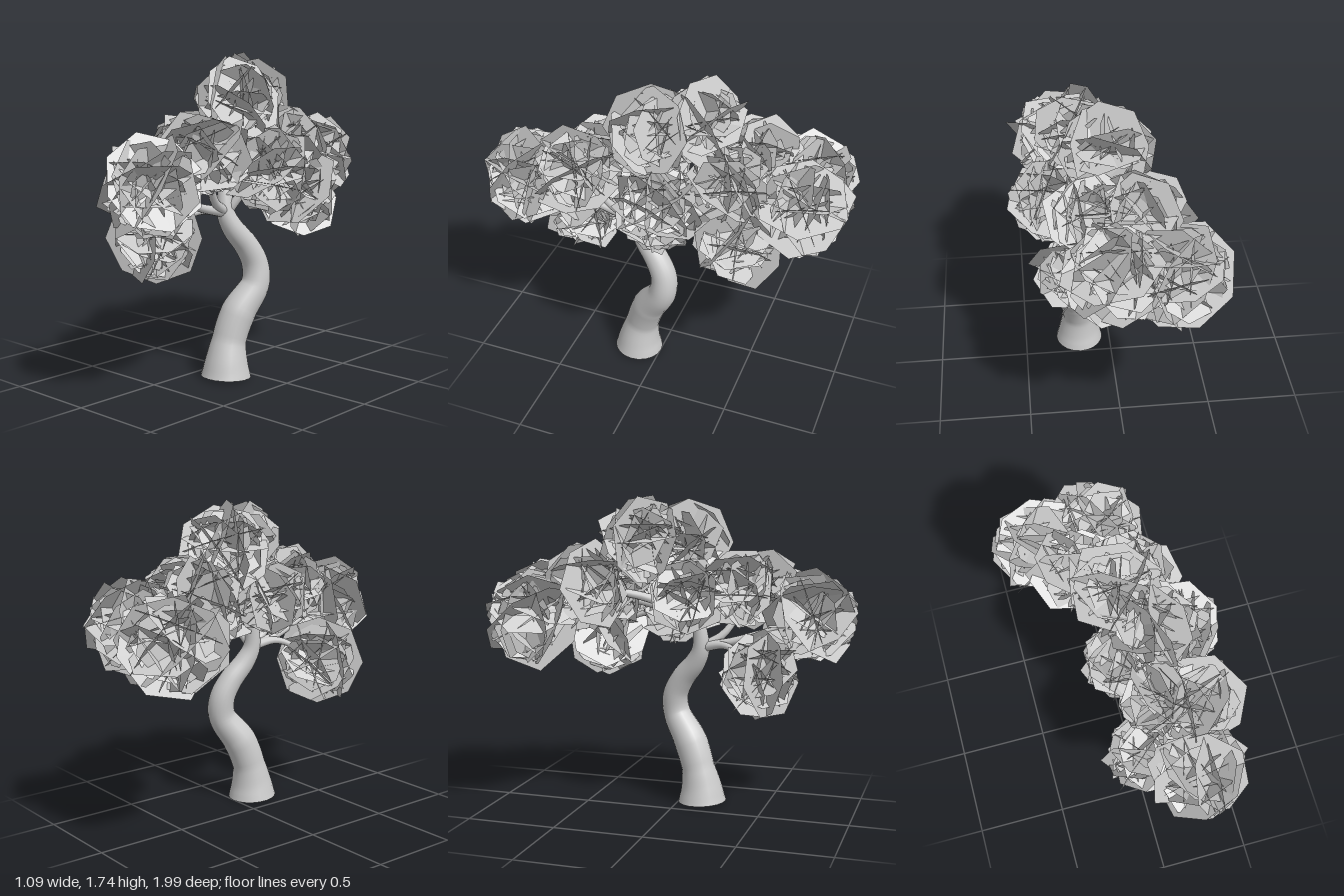
import * as THREE from 'three';
import { mergeGeometries } from 'three/addons/utils/BufferGeometryUtils.js';

const V = (x, y, z) => new THREE.Vector3(x, y, z);

// Small seeded random source
let seed = 23;
function rand() {
  seed = (seed * 16807) % 2147483647;
  return seed / 2147483647;
}

// Tube along a curve whose rings are scaled to the given radii
function limbGeometry(curve, radii, segments, sides) {
  const geo = new THREE.TubeGeometry(curve, segments, 1, sides, false);
  const pos = geo.attributes.position;
  const nor = geo.attributes.normal;
  const p = V(0, 0, 0);
  for (let i = 0; i <= segments; i++) {
    const c = curve.getPointAt(i / segments);
    const t = curve.getUtoTmapping(i / segments) * (radii.length - 1);
    const k = Math.min(Math.floor(t), radii.length - 2);
    const r = THREE.MathUtils.lerp(radii[k], radii[k + 1], t - k);
    for (let j = 0; j <= sides; j++) {
      const n = i * (sides + 1) + j;
      p.fromBufferAttribute(pos, n).sub(c).multiplyScalar(r).add(c);
      pos.setXYZ(n, p.x, p.y, p.z);
    }
  }
  geo.computeVertexNormals();
  // First and last vertex of each ring share a normal, so no seam shows
  for (let a = 0; a < pos.count; a += sides + 1) {
    const n = V(0, 0, 0).fromBufferAttribute(nor, a);
    n.add(p.fromBufferAttribute(nor, a + sides)).normalize();
    nor.setXYZ(a, n.x, n.y, n.z);
    nor.setXYZ(a + sides, n.x, n.y, n.z);
  }
  return geo;
}

// Flat irregular polygon used as one leaf card
function leafCard(radius) {
  const sides = 7 + Math.floor(rand() * 2);
  const geo = new THREE.CircleGeometry(radius, sides);
  const pos = geo.attributes.position;
  const stretch = 0.8 + 0.2 * rand();
  for (let i = 1; i <= sides; i++) {
    const s = 0.9 + 0.1 * rand();
    pos.setXY(i, pos.getX(i) * s, pos.getY(i) * s * stretch);
  }
  pos.setXY(sides + 1, pos.getX(1), pos.getY(1));
  return geo;
}

// Leaf cards crossing near one centre, facing evenly spread directions
function leafCluster(radius, count) {
  const cards = [];
  const z = V(0, 0, 1);
  const turn = rand() * Math.PI * 2;
  for (let i = 0; i < count; i++) {
    const h = 1 - (i + rand()) / count;
    const a = turn + i * 2.39996 + rand() * 0.8;
    const s = Math.sqrt(1 - h * h);
    const dir = V(s * Math.cos(a), h, s * Math.sin(a));
    const card = leafCard(radius * (0.72 + 0.34 * rand()));
    card.rotateZ(rand() * Math.PI * 2);
    card.applyQuaternion(new THREE.Quaternion().setFromUnitVectors(z, dir));
    dir.multiplyScalar((rand() - 0.5) * radius * 0.7);
    card.translate(dir.x, dir.y, dir.z);
    cards.push(card);
  }
  return mergeGeometries(cards);
}

export function createModel() {
  seed = 23;
  const tree = new THREE.Group();
  tree.name = 'tree';
  const bark = new THREE.MeshStandardMaterial({ color: 0xcccccc });
  const foliage = new THREE.MeshStandardMaterial({
    color: 0xcccccc, flatShading: true, side: THREE.DoubleSide,
  });
  const add = (name, geo, mat) => {
    const mesh = new THREE.Mesh(geo, mat);
    mesh.name = name;
    tree.add(mesh);
    return mesh;
  };

  // Trunk: flared foot and S-shaped bend
  const trunk = new THREE.CatmullRomCurve3([
    V(0.18, 0.007, 0.133), V(0.18, 0.08, 0.129), V(0.18, 0.2, 0.108), V(0.2, 0.35, 0.055),
    V(0.24, 0.5, -0.038), V(0.232, 0.61, -0.043), V(0.215, 0.71, 0.005), V(0.19, 0.81, 0.085),
    V(0.172, 0.89, 0.122), V(0.16, 1.0, 0.12), V(0.15, 1.1, 0.1),
  ]);
  const trunkRadii = [0.137, 0.119, 0.094, 0.096, 0.078, 0.073, 0.067, 0.059, 0.05, 0.04, 0.028];
  add('trunk', limbGeometry(trunk, trunkRadii, 54, 20), bark);

  // Underside of the trunk, square to its axis
  const foot = add('trunkFoot', new THREE.CircleGeometry(0.137, 20), bark);
  foot.position.copy(trunk.getPointAt(0));
  foot.lookAt(foot.position.clone().sub(trunk.getTangentAt(0)));

  // Branches: each runs from the fork through its bends to a cluster
  const fork = V(0.172, 0.9, 0.122), crown = V(0.152, 1.07, 0.11);
  const branches = [
    [fork, V(0.17, 0.94, 0.3), V(0.19, 1.0, 0.48), V(0.22, 1.08, 0.72)],
    [fork, V(0.13, 0.92, 0.28), V(0.03, 0.82, 0.47)],
    [fork, V(0.2, 0.97, 0.24), V(0.25, 1.1, 0.33), V(0.3, 1.24, 0.41)],
    [crown, V(0.18, 1.3, 0.06), V(0.16, 1.48, 0.03)],
    [crown, V(0.12, 1.28, -0.03), V(0.04, 1.46, -0.17)],
    [fork, V(0.25, 1.02, 0.06), V(0.33, 1.12, -0.03)],
    [crown, V(0.2, 1.1, -0.12), V(0.23, 1.0, -0.43)],
    [crown, V(0.02, 1.2, -0.2), V(-0.11, 1.22, -0.45), V(-0.24, 1.1, -0.7)],
    [crown, V(0.1, 1.17, -0.3), V(0.07, 1.14, -0.74)],
    [crown, V(0.12, 1.14, 0.2), V(0.12, 1.22, 0.3)],
    [crown, V(0.08, 1.15, 0.11), V(-0.02, 1.2, 0.1)],
  ];
  branches.forEach((points, i) => {
    const curve = new THREE.CatmullRomCurve3(points);
    add('branch' + (i + 1), limbGeometry(curve, [0.03, 0.01], 14, 10), bark);
  });

  // Foliage clusters: x, y, z, radius
  const clusters = [
    [0.22, 1.09, 0.73, 0.29],
    [0.02, 0.79, 0.5, 0.26],
    [0.3, 1.24, 0.42, 0.26],
    [0.17, 1.48, 0.04, 0.25],
    [0.03, 1.49, -0.17, 0.26],
    [0.31, 1.13, -0.05, 0.26],
    [0.21, 0.96, -0.45, 0.27],
    [-0.26, 1.1, -0.72, 0.29],
    [0.06, 1.13, -0.74, 0.27],
    [-0.12, 1.25, -0.45, 0.26],
    [0.12, 1.24, 0.34, 0.23],
    [0.14, 1.24, -0.38, 0.24],
    [-0.02, 1.21, 0.1, 0.22],
  ];
  clusters.forEach(([x, y, z, r], i) => {
    add('leafCluster' + (i + 1), leafCluster(r, 24), foliage).position.set(x, y, z);
  });
  return tree;
}
